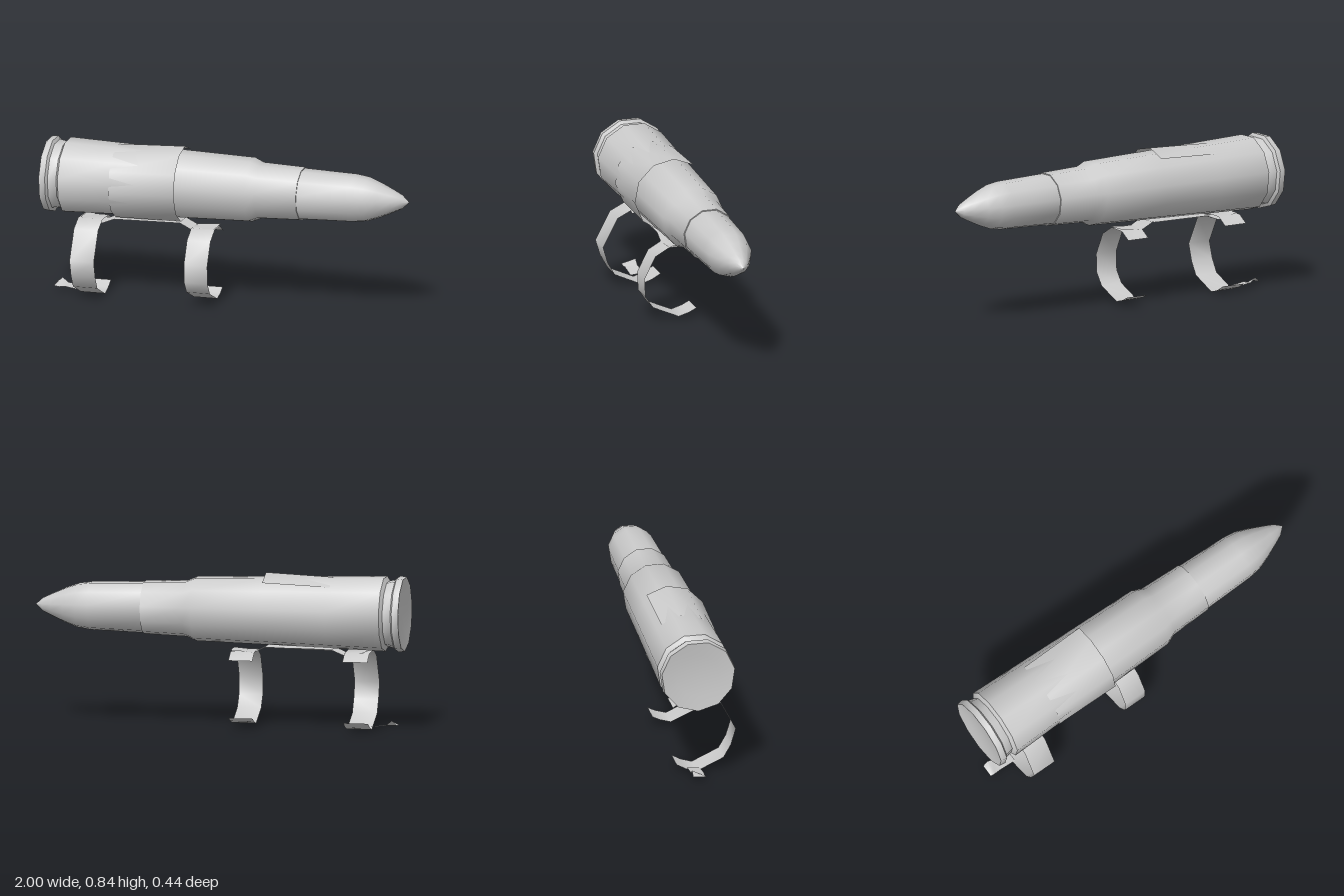
import * as THREE from 'three';
import { toCreasedNormals } from 'three/addons/utils/BufferGeometryUtils.js';

const CY = 0.633, CZ = -0.02; // body axis
const solid = new THREE.MeshStandardMaterial({ color: 0xcccccc });
const thin = new THREE.MeshStandardMaterial({ color: 0xcccccc, side: THREE.DoubleSide });

// Body of revolution lying along x, profile points are [x, radius]
function turned(name, profile, sides) {
  const pts = profile.map(([x, r]) => new THREE.Vector2(r, x));
  const geo = new THREE.LatheGeometry(pts, sides, Math.PI / 2);
  geo.rotateZ(-Math.PI / 2);
  const mesh = new THREE.Mesh(toCreasedNormals(geo, 0.8), solid);
  mesh.position.set(0, CY, CZ);
  mesh.name = name;
  return mesh;
}

// Thin sheet through rows of [x, y, z] points
function sheet(name, rows) {
  const n = rows[0].length, index = [];
  for (let i = 0; i < rows.length - 1; i++) {
    for (let j = 0; j < n - 1; j++) {
      const a = i * n + j, b = a + n;
      index.push(a, b, a + 1, b, b + 1, a + 1);
    }
  }
  const geo = new THREE.BufferGeometry();
  geo.setAttribute('position', new THREE.Float32BufferAttribute(rows.flat(2), 3));
  geo.setIndex(index);
  geo.computeVertexNormals();
  const mesh = new THREE.Mesh(geo, thin);
  mesh.name = name;
  return mesh;
}

// Hooked band: a [z, y] path swept across the width x0..x1
function hook(name, x0, x1, path) {
  return sheet(name, [x0, x1].map(x => path.map(([z, y]) => [x, y, z])));
}

export function createModel() {
  const group = new THREE.Group();

  // Casing with rim, groove, shoulder and neck
  group.add(turned('casing', [
    [-0.985, 0], [-0.99, 0.12], [-1, 0.2], [-0.965, 0.205], [-0.955, 0.187],
    [-0.91, 0.178], [-0.895, 0.203], [-0.6, 0.194], [-0.25, 0.184],
    [0.13, 0.174], [0.18, 0.152], [0.41, 0.144], [0.41, 0.136],
  ], 11));

  // Pointed nose
  group.add(turned('nose', [
    [0.4, 0.139], [0.7, 0.13], [0.77, 0.12], [0.84, 0.094],
    [0.91, 0.062], [0.96, 0.037], [1, 0],
  ], 11));

  // Sleeve wrapped round the front, top and underside of the casing
  const sleeveRow = (x, r, cy) => Array.from({ length: 8 }, (_, i) => {
    const a = THREE.MathUtils.degToRad(-38 + i * 33.5);
    return [x, cy + r * Math.cos(a), CZ + r * Math.sin(a)];
  });
  group.add(sheet('sleeve', [sleeveRow(-0.615, 0.197, 0.627), sleeveRow(-0.25, 0.203, 0.637)]));

  // Bridge under the sleeve, stepping down to both hooks
  const bridge = [[-0.8, 0.43], [-0.68, 0.405], [-0.615, 0.432], [-0.25, 0.44], [-0.19, 0.41], [-0.06, 0.42]];
  group.add(sheet('bridge', bridge.map(([x, y]) => [0.06, 0, -0.06].map(z => [x, y, z]))));

  // Hooks open towards the back
  group.add(hook('rearHook', -0.815, -0.68, [
    [-0.12, 0.38], [-0.06, 0.42], [0.06, 0.425], [0.14, 0.385], [0.222, 0.23],
    [0.195, 0.14], [0.155, 0.07], [0.01, 0.003], [-0.05, 0.022], [-0.1, 0.05],
  ]));
  group.add(hook('frontHook', -0.19, -0.06, [
    [-0.11, 0.37], [-0.05, 0.41], [0.05, 0.415], [0.13, 0.37], [0.19, 0.25],
    [0.185, 0.15], [0.14, 0.085], [0.0, 0.022], [-0.06, 0.04], [-0.1, 0.06],
  ]));

  // Tail at the foot of the rear hook
  const tail = [[-0.8, 0.015, 0.022], [-0.9, 0.03, 0.035], [-0.93, 0.025, 0.06], [-0.96, 0.03, 0.035]];
  group.add(sheet('rearHookTail', tail.map(([x, y0, y1]) => [[x, y0, 0.03], [x, y1, -0.04]])));

  return group;
}
